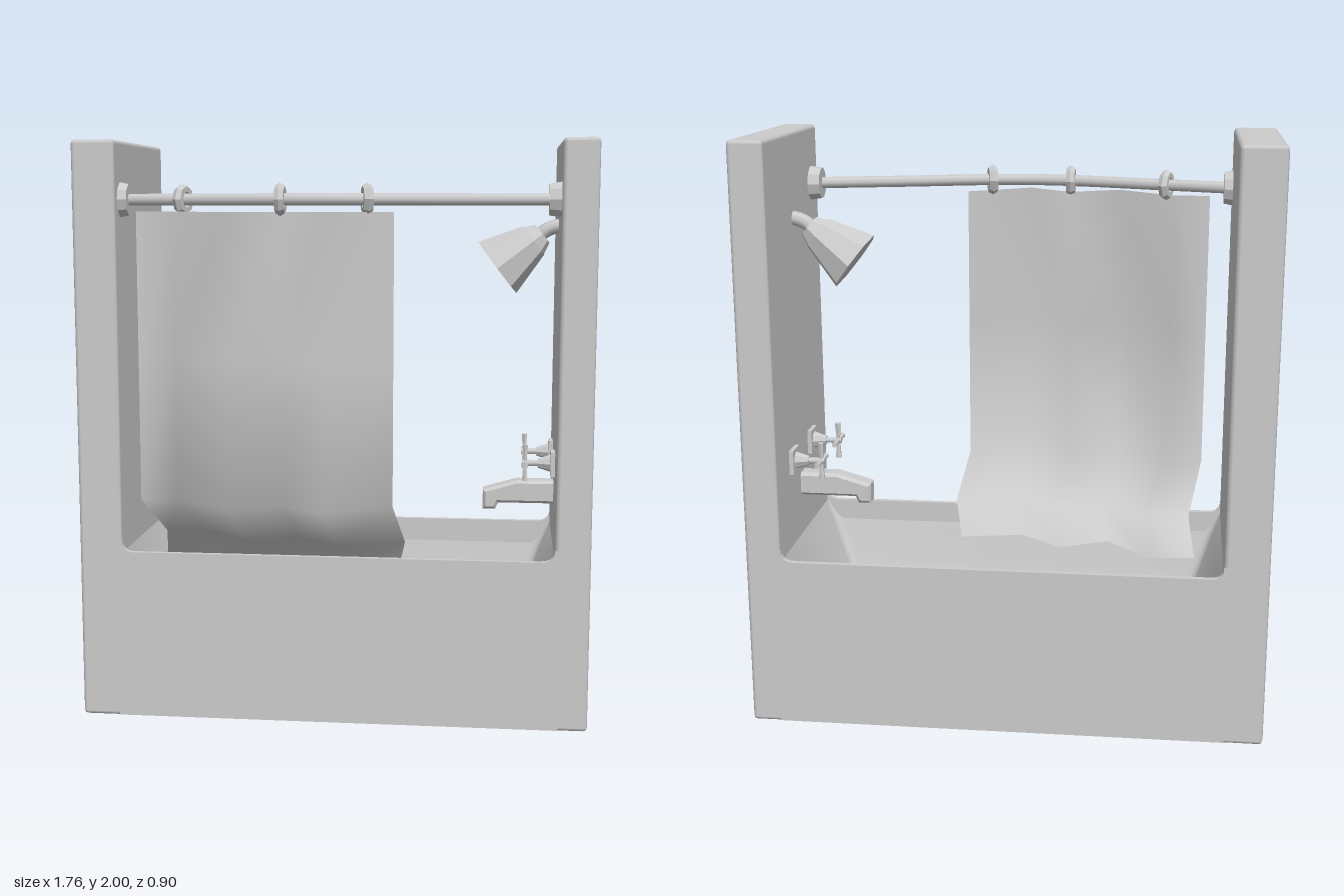
import * as THREE from 'three';
import { toCreasedNormals } from 'three/addons/utils/BufferGeometryUtils.js';
import { RoundedBoxGeometry } from 'three/addons/geometries/RoundedBoxGeometry.js';

const V = (x, y, z) => new THREE.Vector3(x, y, z);

export function createModel() {
  const model = new THREE.Group();
  const smooth = new THREE.MeshStandardMaterial({ color: 0xcccccc });
  const flat = new THREE.MeshStandardMaterial({ color: 0xcccccc, flatShading: true });
  const open = new THREE.MeshStandardMaterial({ color: 0xcccccc, side: THREE.DoubleSide });

  const add = (name, geo, mat = smooth, parent = model) => {
    const mesh = new THREE.Mesh(geo, mat);
    mesh.name = name;
    parent.add(mesh);
    return mesh;
  };
  // Tapered cylinder from point a (radius ra) to point b (radius rb)
  const rod = (name, a, b, ra, rb, sides, parent = model, mat = flat) => {
    const mesh = add(name, new THREE.CylinderGeometry(rb, ra, a.distanceTo(b), sides), mat, parent);
    mesh.position.copy(a).lerp(b, 0.5);
    mesh.quaternion.setFromUnitVectors(V(0, 1, 0), b.clone().sub(a).normalize());
    return mesh;
  };
  // Surface through equal-length rows of points
  const loft = (rows, closed) => {
    const n = rows[0].length, index = [];
    for (let r = 0; r < rows.length - 1; r++) {
      for (let i = 0; i < (closed ? n : n - 1); i++) {
        const j = (i + 1) % n, a = r * n + i, b = r * n + j;
        index.push(a, a + n, b, b, a + n, b + n);
      }
    }
    const geo = new THREE.BufferGeometry().setFromPoints(rows.flat());
    geo.setIndex(index);
    geo.computeVertexNormals();
    return geo;
  };

  // End walls
  for (const [name, x0, x1] of [['rightWall', -0.88, -0.73], ['leftWall', 0.76, 0.88]]) {
    const wall = add(name, new RoundedBoxGeometry(x1 - x0, 2, 0.71, 1, 0.014));
    wall.position.set((x0 + x1) / 2, 1, -0.095);
  }

  // Front and back tub panels, with small fillets where the rim meets the walls
  const panel = new THREE.Shape();
  panel.moveTo(-0.75, 0.005);
  panel.lineTo(0.78, 0.005);
  panel.lineTo(0.78, 0.63);
  panel.lineTo(0.76, 0.63);
  panel.quadraticCurveTo(0.76, 0.59, 0.71, 0.59);
  panel.lineTo(-0.69, 0.59);
  panel.quadraticCurveTo(-0.73, 0.59, -0.73, 0.63);
  panel.lineTo(-0.75, 0.63);
  for (const [name, z] of [['frontPanel', 0.24], ['backPanel', -0.45]]) {
    const geo = new THREE.ExtrudeGeometry(panel, { depth: 0.02, bevelEnabled: false, curveSegments: 5 });
    add(name, geo).position.z = z;
  }
  add('base', new THREE.BoxGeometry(1.53, 0.03, 0.7)).position.set(0.015, 0.016, -0.095);

  // Basin: rounded rectangles shrinking down to the floor
  const ring = (k, y) => {
    const x0 = -0.73 + 0.16 * k, x1 = 0.76 - 0.18 * k;
    const z0 = -0.445 + 0.08 * k, z1 = 0.255 - 0.09 * k, r = 0.03;
    const pts = [];
    [[x1 - r, z1 - r], [x0 + r, z1 - r], [x0 + r, z0 + r], [x1 - r, z0 + r]].forEach(([cx, cz], q) => {
      for (let i = 0; i <= 3; i++) {
        const a = (q + i / 3) * Math.PI / 2;
        pts.push(V(cx + r * Math.cos(a), y, cz + r * Math.sin(a)));
      }
    });
    return pts;
  };
  const rings = [[0, 0.587], [0.2, 0.5], [0.45, 0.38], [0.75, 0.26], [1, 0.22]].map(([k, y]) => ring(k, y));
  rings.push(rings[4].map(() => V(0, 0.22, -0.1)));
  add('basin', toCreasedNormals(loft(rings, true), 0.7), open);

  // Bowed curtain rail with end flanges and rings
  const rail = new THREE.CatmullRomCurve3([
    [-0.72, 0.17], [-0.5, 0.24], [-0.15, 0.345], [0, 0.36], [0.13, 0.345], [0.4, 0.265], [0.75, 0.17],
  ].map(([x, z]) => V(x, 1.8, z)));
  add('curtainRail', new THREE.TubeGeometry(rail, 28, 0.02, 8));
  rod('railFlange', V(-0.735, 1.8, 0.17), V(-0.7, 1.8, 0.17), 0.062, 0.055, 10);
  rod('railFlange', V(0.765, 1.8, 0.17), V(0.72, 1.8, 0.17), 0.062, 0.055, 10);
  for (const [x, z, turn] of [[-0.5, 0.24, -0.3], [-0.155, 0.345, 0], [0.13, 0.345, 0.25]]) {
    const hoop = add('curtainRing', new THREE.TorusGeometry(0.036, 0.018, 6, 8), flat);
    hoop.position.set(x, 1.8, z);
    hoop.rotation.y = Math.PI / 2 + turn;
  }

  // Pleated curtain, its lower part tucked into the tub
  const pleats = [[-0.655, 0.27], [-0.53, 0.26], [-0.33, 0.42], [-0.155, 0.335], [0, 0.455], [0.215, 0.31]];
  const hem = [[-0.635, -0.04], [-0.47, -0.055], [-0.32, 0.105], [-0.155, 0.02], [0, 0.14], [0.22, 0.095]];
  const curtainRow = (y, k, shift) => pleats.map(([x, z], i) =>
    V(x + (hem[i][0] - x) * k + shift, y, z + (hem[i][1] - z) * k));
  add('curtain', loft([
    curtainRow(1.76, 0, 0), curtainRow(1.27, 0, 0), curtainRow(0.78, 0, 0),
    curtainRow(0.63, 0.65, 0.03), curtainRow(0.51, 1, 0),
  ], false), open);

  // Shower head on its arm
  const shower = new THREE.Group();
  shower.name = 'shower';
  model.add(shower);
  const arm = new THREE.QuadraticBezierCurve3(V(0.77, 1.71, -0.1), V(0.71, 1.71, -0.1), V(0.67, 1.645, -0.1));
  add('showerArm', new THREE.TubeGeometry(arm, 8, 0.025, 8), smooth, shower);
  rod('showerNeck', V(0.705, 1.683, -0.1), V(0.67, 1.655, -0.1), 0.04, 0.062, 8, shower);
  rod('showerHead', V(0.675, 1.66, -0.1), V(0.55, 1.565, -0.1), 0.062, 0.112, 8, shower);

  // Spout
  const spout = new THREE.Shape([
    [0.77, 0.81], [0.63, 0.81], [0.51, 0.775], [0.51, 0.705], [0.555, 0.705], [0.565, 0.728], [0.77, 0.728],
  ].map(([x, y]) => new THREE.Vector2(x, y)));
  const spoutGeo = new THREE.ExtrudeGeometry(spout, {
    depth: 0.05, bevelThickness: 0.012, bevelSize: 0.01, bevelOffset: -0.01, bevelSegments: 1,
  });
  add('spout', spoutGeo, flat).position.z = -0.127;

  // Cross-handled taps
  for (const z of [-0.24, 0.02]) {
    const tap = new THREE.Group();
    tap.name = 'tap';
    tap.position.set(0, 0.89, z);
    model.add(tap);
    add('tapPlate', new THREE.BoxGeometry(0.02, 0.085, 0.085), flat, tap).position.x = 0.755;
    rod('tapCollar', V(0.75, 0, 0), V(0.7, 0, 0), 0.032, 0.016, 8, tap);
    rod('tapStem', V(0.7, 0, 0), V(0.645, 0, 0), 0.011, 0.011, 8, tap);
    for (let i = 0; i < 4; i++) {
      const a = i * Math.PI / 2;
      rod('tapHandle', V(0.657, 0, 0), V(0.657, 0.064 * Math.cos(a), 0.064 * Math.sin(a)), 0.006, 0.011, 6, tap);
    }
  }
  return model;
}
